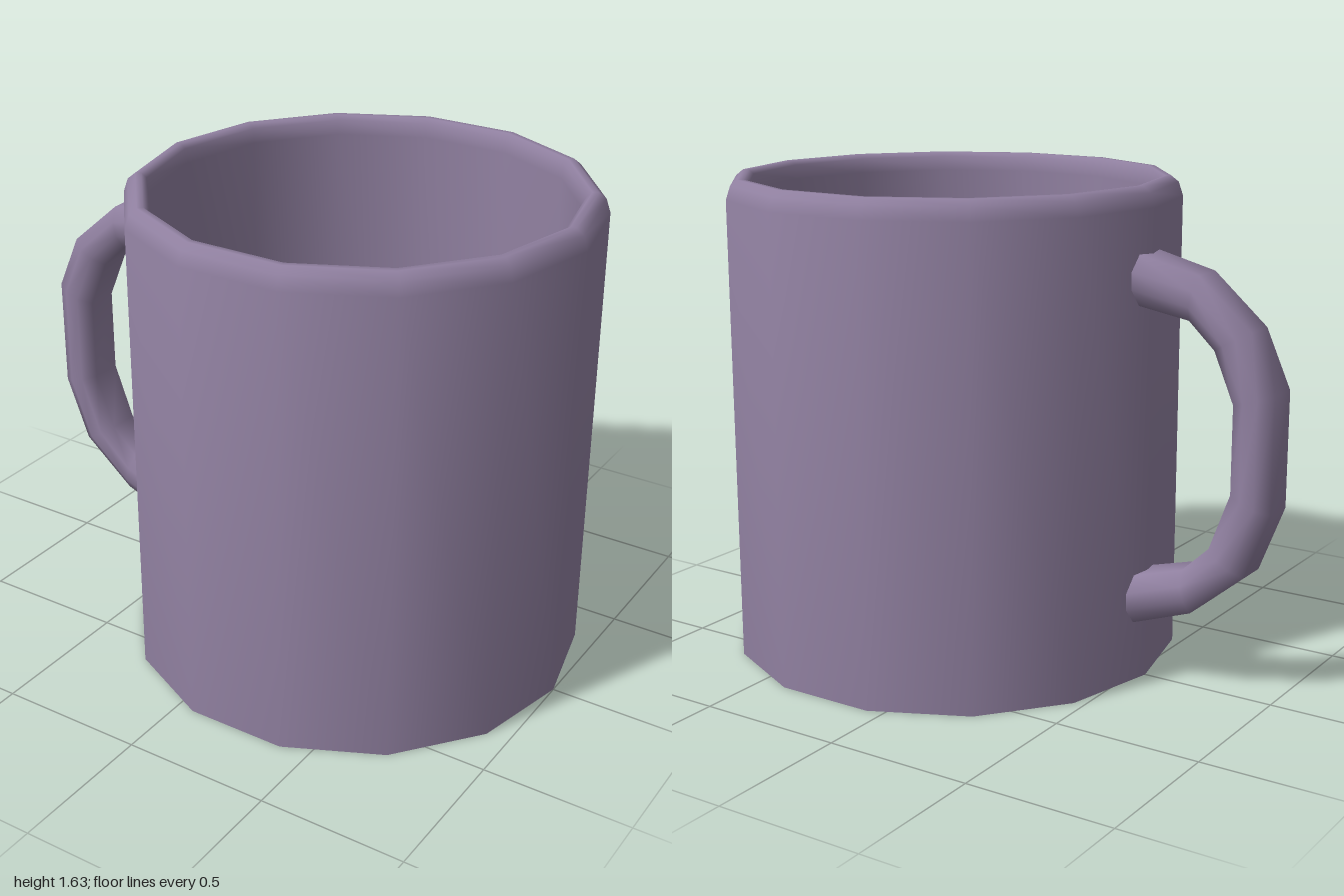
import * as THREE from 'three';
import { toCreasedNormals } from 'three/addons/utils/BufferGeometryUtils.js';

const SIDES = 14;
const RADIUS = 0.77;
const CENTRE_X = 0.23;

// Closed cup profile: underside, outer wall, rounded rim, inner wall, floor
function cupGeometry() {
  const profile = [
    [0, 0], [RADIUS, 0], [RADIUS, 1.57], [0.755, 1.615], [0.73, 1.635],
    [0.71, 1.635], [0.694, 1.62], [0.69, 1.57], [0.69, 0.08], [0, 0.08],
  ].map(([r, y]) => new THREE.Vector2(r, y));
  const lathe = new THREE.LatheGeometry(profile, SIDES, Math.PI / 2);
  return toCreasedNormals(lathe, THREE.MathUtils.degToRad(50));
}

// Handle: flattened eight-sided sections strung between an outer and an inner outline
function handleGeometry() {
  // outer x, outer y, inner x, inner y, half width
  const sections = [
    [-0.50, 1.435, -0.50, 1.27, 0.1],
    [-0.73, 1.38, -0.70, 1.235, 0.087],
    [-0.915, 1.22, -0.79, 1.15, 0.085],
    [-1, 1.03, -0.86, 0.985, 0.085],
    [-1, 0.65, -0.86, 0.695, 0.085],
    [-0.915, 0.43, -0.79, 0.505, 0.085],
    [-0.73, 0.275, -0.695, 0.415, 0.087],
    [-0.50, 0.195, -0.50, 0.36, 0.1],
  ];
  const ring = [
    [1, -0.65], [1, 0.65], [0.35, 1], [-0.35, 1],
    [-1, 0.65], [-1, -0.65], [-0.35, -1], [0.35, -1],
  ];
  const n = ring.length;
  const positions = [];
  const indices = [];
  sections.forEach(([ox, oy, ix, iy, width], i) => {
    ring.forEach(([u, v], j) => {
      const t = (u + 1) / 2;
      positions.push(ix + (ox - ix) * t, iy + (oy - iy) * t, v * width);
      if (i === sections.length - 1) return;
      const a = i * n + j;
      const b = i * n + ((j + 1) % n);
      indices.push(a, a + n, b, b, a + n, b + n);
    });
  });
  const geometry = new THREE.BufferGeometry();
  geometry.setAttribute('position', new THREE.Float32BufferAttribute(positions, 3));
  geometry.setIndex(indices);
  geometry.computeVertexNormals();
  return geometry;
}

export function createModel() {
  const group = new THREE.Group();
  group.name = 'mug';
  const material = new THREE.MeshStandardMaterial({ color: 0x9080a0 });

  const cup = new THREE.Mesh(cupGeometry(), material);
  cup.name = 'cup';
  cup.position.x = CENTRE_X;

  const handle = new THREE.Mesh(handleGeometry(), material);
  handle.name = 'handle';

  group.add(cup, handle);
  return group;
}
